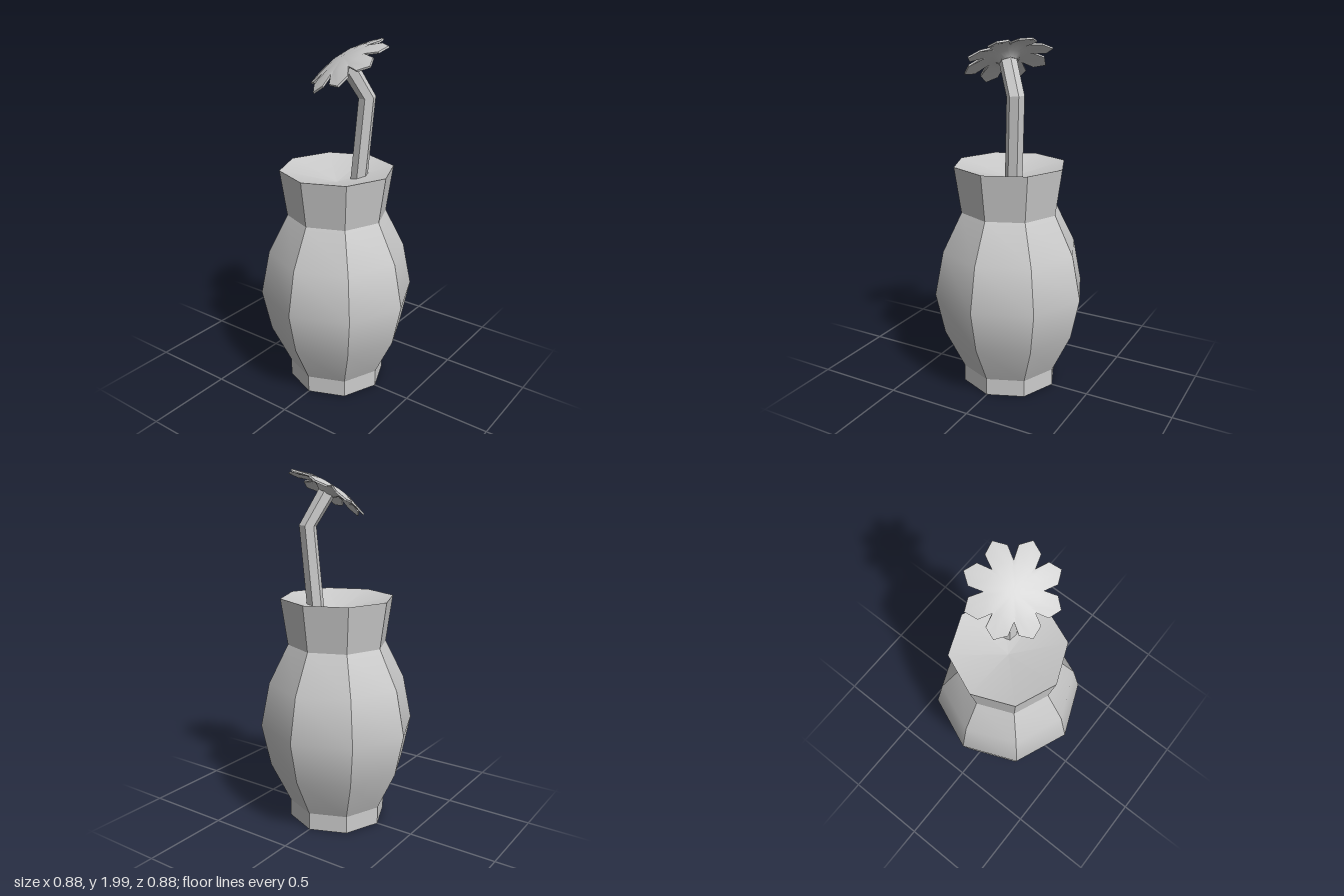
import * as THREE from 'three';
import { toCreasedNormals } from 'three/addons/utils/BufferGeometryUtils.js';

const UP = new THREE.Vector3(0, 1, 0);
const V = (x, y, z) => new THREE.Vector3(x, y, z);

// Skins a list of equal-sized closed rings, bottom to top, facing outwards.
function loft(rings, crease) {
  const n = rings[0].length;
  const points = [];
  for (let r = 0; r < rings.length - 1; r++) {
    for (let i = 0; i < n; i++) {
      const j = (i + 1) % n;
      const [a, b, c, d] = [rings[r][i], rings[r + 1][i], rings[r + 1][j], rings[r][j]];
      points.push(a, b, c, a, c, d);
    }
  }
  const geometry = new THREE.BufferGeometry().setFromPoints(points);
  return toCreasedNormals(geometry, crease);
}

function part(name, geometry) {
  const material = new THREE.MeshStandardMaterial({ color: 0xcccccc, side: THREE.DoubleSide });
  const mesh = new THREE.Mesh(geometry, material);
  mesh.name = name;
  return mesh;
}

// Eight-sided vase with a shallow dished top
function createVase() {
  const profile = [
    [0, 0], [0.28, 0], [0.28, 0.1], [0.39, 0.33], [0.44, 0.57],
    [0.39, 0.82], [0.28, 1.04], [0.318, 1.3], [0, 1.22],
  ].map(([x, y]) => new THREE.Vector2(x, y));
  return part('vase', toCreasedNormals(new THREE.LatheGeometry(profile, 8), 0.405));
}

// Six-sided stem with one bend
function createStem() {
  const path = [V(0.093, 1.2, -0.072), V(0.125, 1.69, -0.1), V(0.053, 1.875, -0.012)];
  const rings = path.map((p, k) => {
    const before = path[Math.max(k - 1, 0)];
    const after = path[Math.min(k + 1, path.length - 1)];
    const turn = new THREE.Quaternion().setFromUnitVectors(UP, after.clone().sub(before).normalize());
    return Array.from({ length: 6 }, (_, i) => {
      const a = (i * Math.PI) / 3 + 0.2;
      return V(Math.cos(a) * 0.048, 0, Math.sin(a) * 0.048).applyQuaternion(turn).add(p);
    });
  });
  return part('stem', loft(rings, 0.5));
}

// Tilted, domed blossom: eight petals, each with two shoulders and a tip
function createBlossom() {
  const petals = 8;
  // angle in degrees, radius, height of one petal's outline
  const outline = [
    [-15.5, 0.206, -0.036], [0, 0.241, -0.048], [15.5, 0.206, -0.036], [22.5, 0.138, -0.014],
  ];
  const ring = (place) => {
    const result = [];
    for (let p = 0; p < petals; p++) {
      for (const [deg, r, h] of outline) {
        const a = THREE.MathUtils.degToRad(deg + (p * 360) / petals + 27);
        const [radius, y] = place(r, h);
        result.push(V(Math.cos(a) * radius, y, Math.sin(a) * radius));
      }
    }
    return result;
  };
  const rings = [
    ring(() => [0, -0.055]),
    ring(() => [0.042, -0.055]),
    ring(() => [0.075, -0.03]),
    ring((r) => [0.08 + r * 0.25, -0.024]),
    ring((r, h) => [r, h - 0.01]),
    ring((r, h) => [r, h]),
    ring((r) => [0.08 + r * 0.2, -0.01]),
    ring(() => [0.034, 0]),
    ring(() => [0, -0.003]),
  ];
  const blossom = part('blossom', loft(rings, 0.6));
  blossom.position.set(0.043, 1.905, 0);
  blossom.quaternion.setFromUnitVectors(UP, V(-0.394, 1, 0.474).normalize());
  return blossom;
}

export function createModel() {
  const model = new THREE.Group();
  model.name = 'flowerVase';
  model.add(createVase(), createStem(), createBlossom());
  return model;
}
